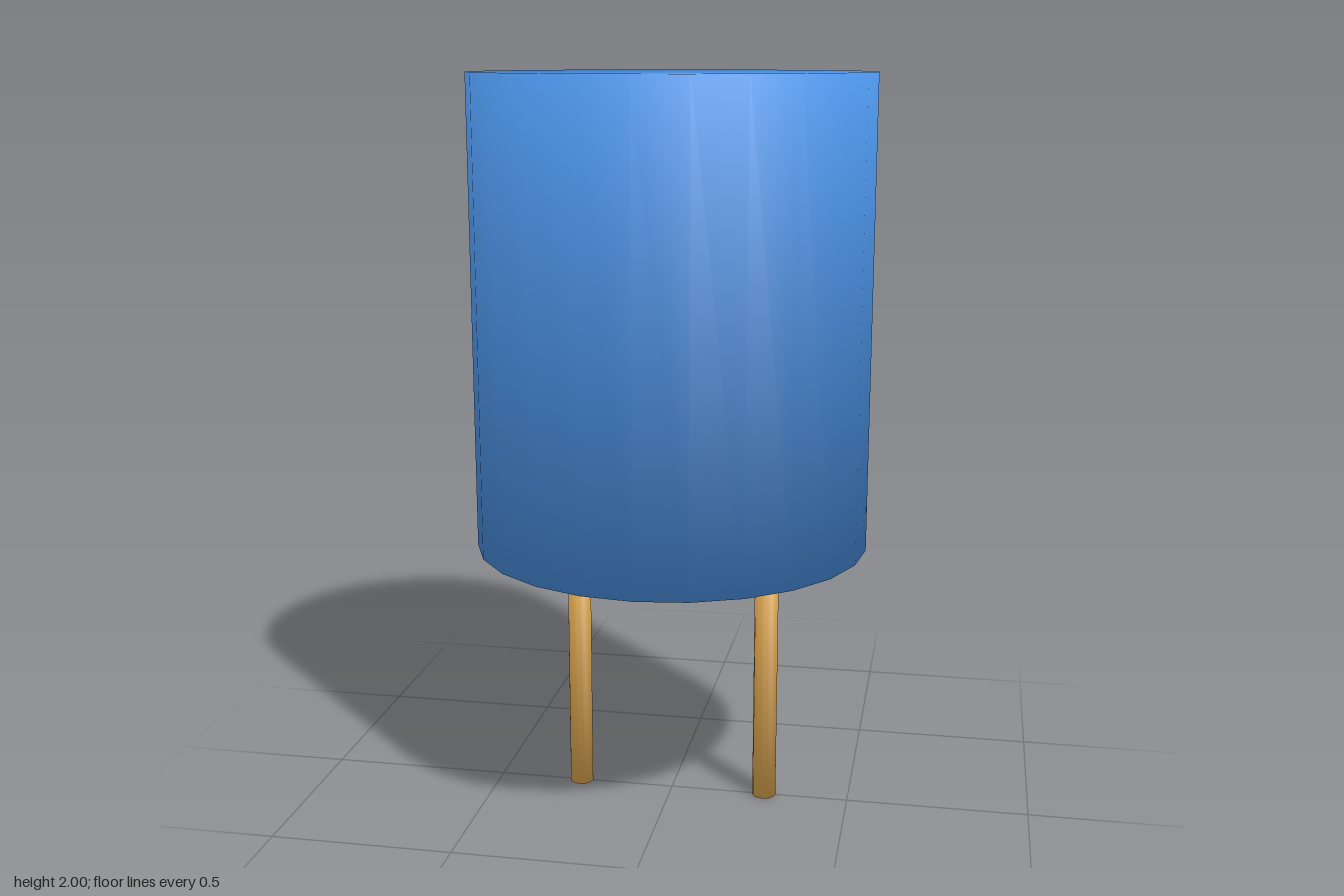
import * as THREE from 'three';

// Upright prism whose normals roll smoothly from the wall over both rims
function softCylinder(name, radius, bottom, top, sides, color) {
  const ring = [];
  for (let i = 0; i < sides; i++) {
    const a = (i / sides) * Math.PI * 2;
    ring.push(new THREE.Vector2(Math.cos(a) * radius, Math.sin(a) * radius));
  }
  const height = top - bottom;
  const geometry = new THREE.ExtrudeGeometry(new THREE.Shape(ring), { depth: height, bevelEnabled: false });
  geometry.rotateX(-Math.PI / 2);

  const position = geometry.attributes.position;
  const normal = geometry.attributes.normal;
  const n = new THREE.Vector3();
  for (let i = 0; i < position.count; i++) {
    n.set(position.getX(i) / radius, position.getY(i) > height / 2 ? 1 : -1, position.getZ(i) / radius).normalize();
    normal.setXYZ(i, n.x, n.y, n.z);
  }

  const mesh = new THREE.Mesh(geometry, new THREE.MeshStandardMaterial({ color }));
  mesh.name = name;
  mesh.position.y = bottom;
  return mesh;
}

export function createModel() {
  const group = new THREE.Group();
  group.name = 'capacitor';

  // Cylindrical can
  group.add(softCylinder('body', 0.533, 0.737, 2, 24, 0x4a90e2));

  // Two wire leads below the can, one on each side
  for (const side of [-1, 1]) {
    const lead = softCylinder(side > 0 ? 'leftLead' : 'rightLead', 0.033, 0, 0.76, 12, 0xe0a84e);
    lead.position.x = side * 0.265;
    group.add(lead);
  }
  return group;
}
